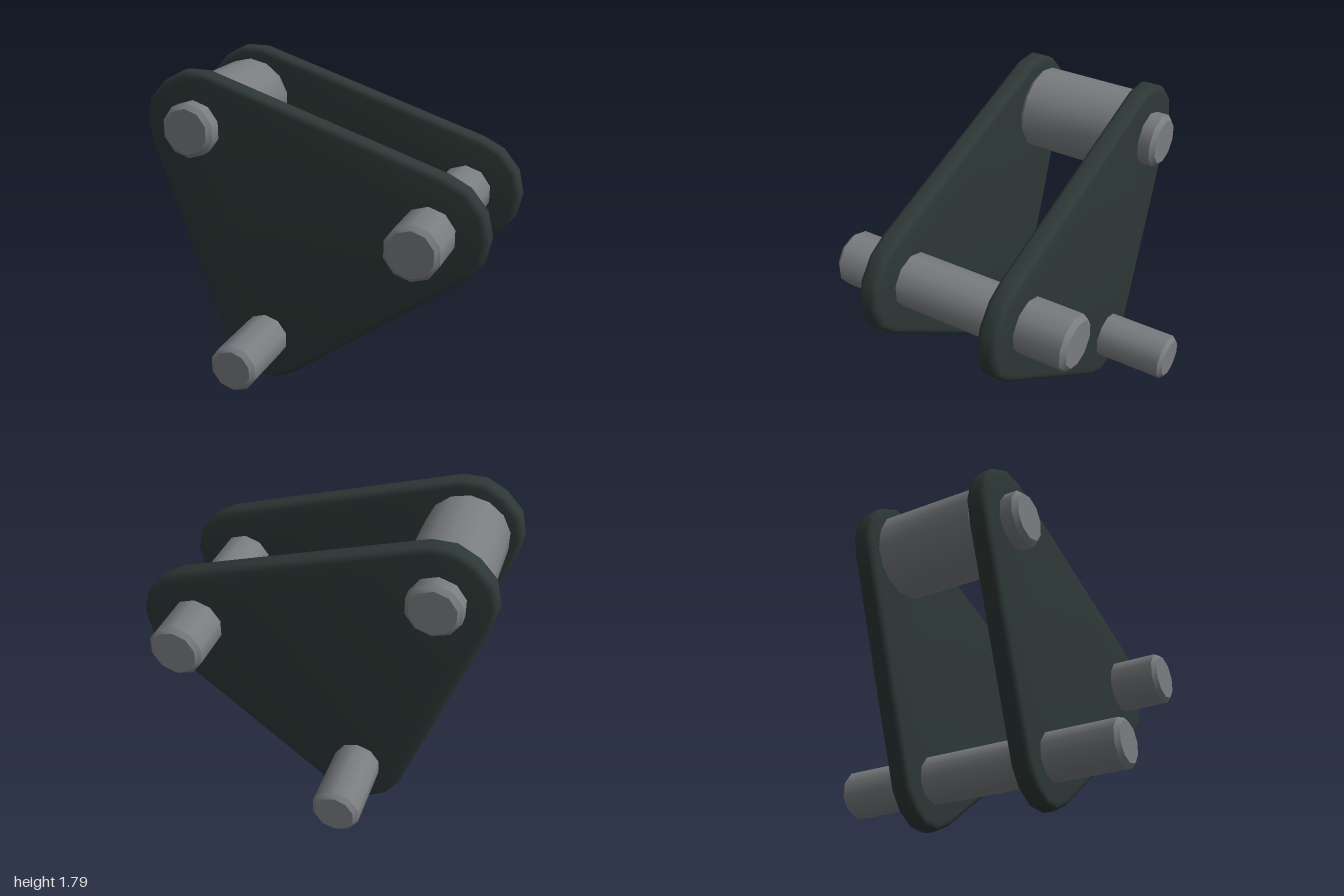
import * as THREE from 'three';
import { toCreasedNormals } from 'three/addons/utils/BufferGeometryUtils.js';

const plateMat = new THREE.MeshStandardMaterial({ name: 'dark green plate', color: 0x2d3836 });
const steelMat = new THREE.MeshStandardMaterial({ name: 'grey steel', color: 0x7a7d80 });

// Rounded three-cornered outline, counter-clockwise
const OUTLINE = [
  [-0.62, 1.8], [-0.755, 1.8], [-0.875, 1.735], [-0.97, 1.63], [-1, 1.495], [-0.97, 1.365],
  [-0.535, 0.165], [-0.46, 0.065], [-0.35, 0.005], [-0.23, 0.005], [-0.11, 0.065],
  [0.87, 0.81], [0.965, 0.92], [0.997, 1.06], [0.965, 1.2], [0.87, 1.315], [0.75, 1.375],
];

// Side plate with rounded rims, centred on z = 0
function plateGeometry(thickness, bevel) {
  const shape = new THREE.Shape(OUTLINE.map(([x, y]) => new THREE.Vector2(x, y)));
  const geo = new THREE.ExtrudeGeometry(shape, {
    depth: thickness - 2 * bevel,
    bevelEnabled: true,
    bevelThickness: bevel,
    bevelSize: bevel,
    bevelOffset: -bevel,
    bevelSegments: 4,
  });
  geo.translate(0, 0, bevel - thickness / 2);
  return toCreasedNormals(geo, 0.6);
}

// Chamfered rod lying along z
function rod(name, x, y, radius, halfLength, chamfer, sides) {
  const profile = [
    [0, -halfLength],
    [radius - chamfer, -halfLength],
    [radius, -halfLength + chamfer],
    [radius, halfLength - chamfer],
    [radius - chamfer, halfLength],
    [0, halfLength],
  ].map(([r, h]) => new THREE.Vector2(r, h));
  const geo = new THREE.LatheGeometry(profile, sides);
  geo.rotateX(Math.PI / 2);
  const mesh = new THREE.Mesh(toCreasedNormals(geo, 0.7), steelMat);
  mesh.name = name;
  mesh.position.set(x, y, 0);
  return mesh;
}

export function createModel() {
  const model = new THREE.Group();
  model.name = 'linkBracket';

  // Pair of side plates
  const plateGeo = plateGeometry(0.116, 0.035);
  for (const [name, z] of [['frontPlate', 0.367], ['backPlate', -0.367]]) {
    const plate = new THREE.Mesh(plateGeo, plateMat);
    plate.name = name;
    plate.position.z = z;
    model.add(plate);
  }

  // Three pins through the corners, and the roller on the upper one
  model.add(
    rod('upperPin', -0.69, 1.49, 0.156, 0.523, 0.026, 10),
    rod('upperRoller', -0.69, 1.492, 0.243, 0.312, 0.027, 14),
    rod('sidePin', 0.668, 1.058, 0.156, 0.717, 0.026, 10),
    rod('lowerPin', -0.288, 0.276, 0.137, 0.855, 0.024, 10),
  );
  return model;
}
